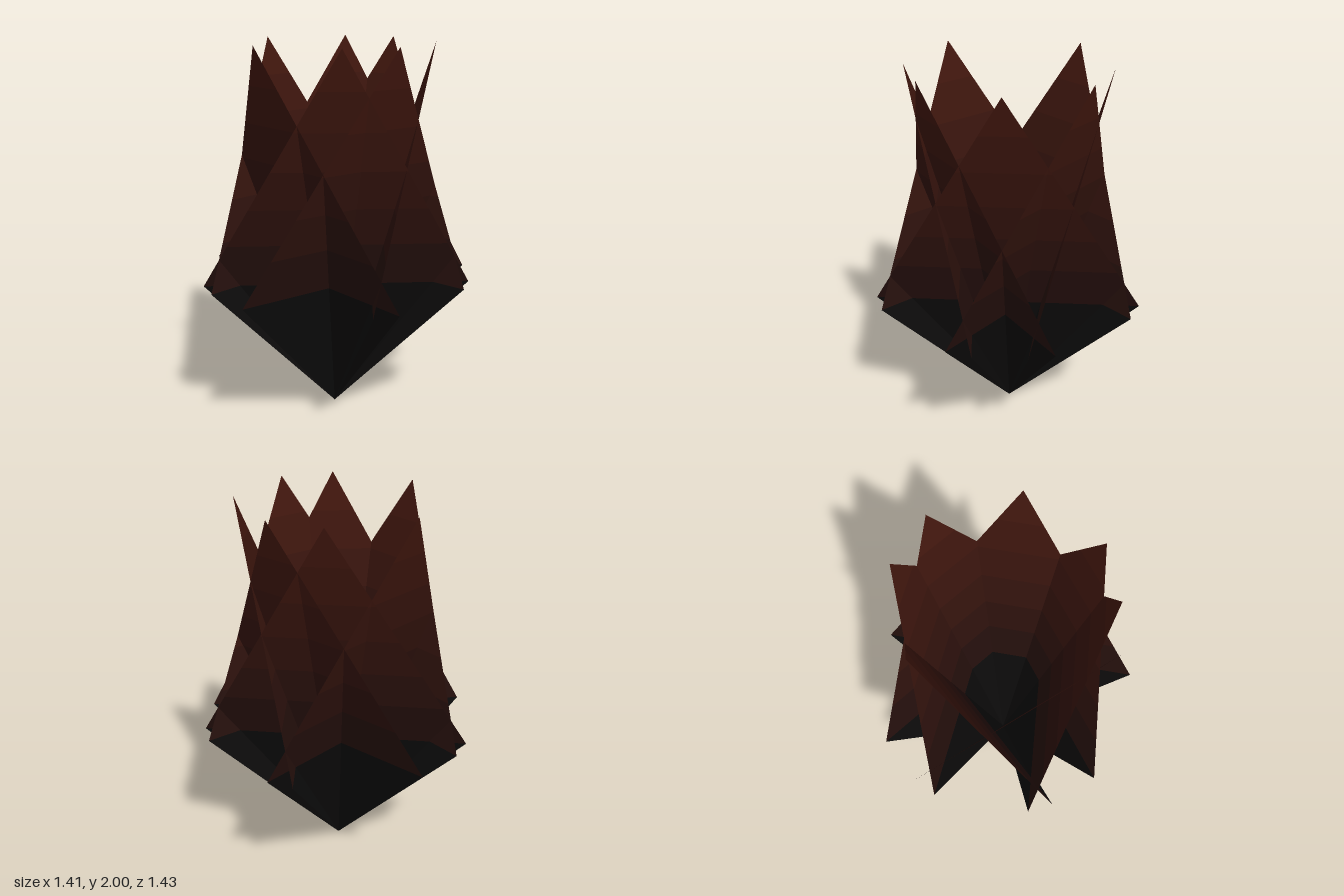
import * as THREE from 'three';

const TIP_Y = 2, SIDE_Y = 0.77, HALF_WIDTH = 0.693, LEAN = 0.255;
const GOLDEN_ANGLE = 137.5, START_ANGLE = -14.75, PETALS = 7;

// Heights of the colour bands, from base to tip
const levels = [0, SIDE_Y, 1.0, 1.2, 1.4, 1.6, 1.8, TIP_Y];
const dark = new THREE.Color(0x0c0b0b);
const red = new THREE.Color(0x42170e);

// Half width of the kite-shaped petal at height y
const halfWidth = (y) =>
  HALF_WIDTH * (y <= SIDE_Y ? y / SIDE_Y : (TIP_Y - y) / (TIP_Y - SIDE_Y));

// One horizontal strip of a flat petal leaning out along +x
function bandGeometry(y0, y1) {
  const points = [];
  for (const y of [y0, y1]) {
    const w = halfWidth(y);
    points.push(LEAN * y, y, w, LEAN * y, y, -w);
  }
  const geometry = new THREE.BufferGeometry();
  geometry.setAttribute('position', new THREE.Float32BufferAttribute(points, 3));
  // The end strips are triangles
  const index = [];
  if (y0 > 0) index.push(0, 1, 2);
  if (y1 < TIP_Y) index.push(2, 1, 3);
  geometry.setIndex(index);
  geometry.computeVertexNormals();
  return geometry;
}

export function createModel() {
  const flower = new THREE.Group();
  flower.name = 'flower';

  // Strips shared by all petals, fading from near black to deep red
  const bands = levels.slice(1).map((top, i) => {
    const middle = (levels[i] + top) / 2;
    const t = THREE.MathUtils.clamp((middle - 0.5) / 1.4, 0, 1);
    const material = new THREE.MeshStandardMaterial({
      color: dark.clone().lerp(red, t),
      flatShading: true,
      side: THREE.DoubleSide,
    });
    return { geometry: bandGeometry(levels[i], top), material };
  });

  // Petals spiral round the base by the golden angle and cut through each other
  for (let i = 0; i < PETALS; i++) {
    const petal = new THREE.Group();
    petal.name = `petal${i + 1}`;
    bands.forEach(({ geometry, material }, j) => {
      const strip = new THREE.Mesh(geometry, material);
      strip.name = `petalStrip${j + 1}`;
      petal.add(strip);
    });
    petal.rotation.y = -THREE.MathUtils.degToRad(START_ANGLE + i * GOLDEN_ANGLE);
    petal.position.set(0.012, 0, 0.006);
    flower.add(petal);
  }
  return flower;
}
